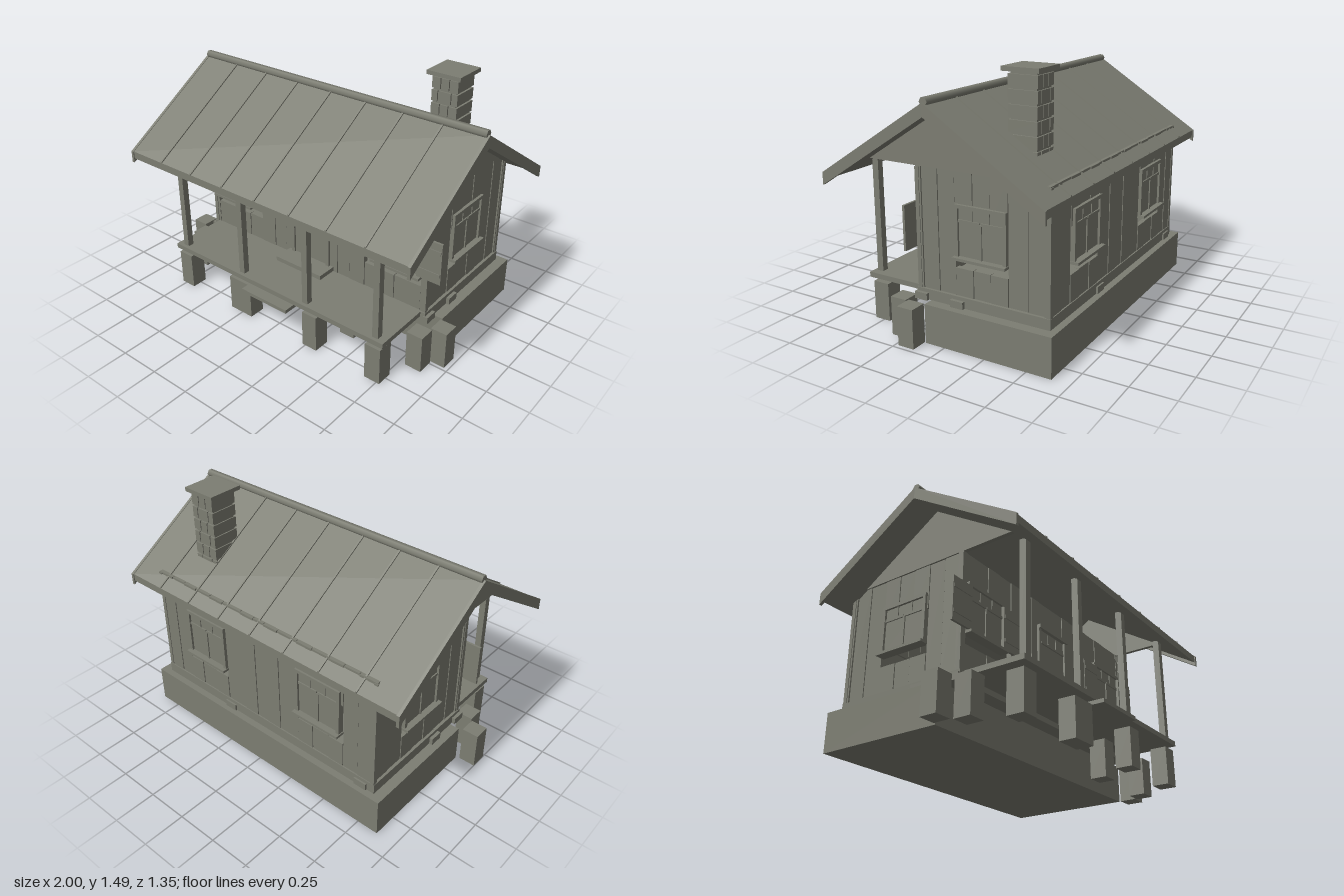
import * as THREE from 'three';

export function createModel() {
  const model = new THREE.Group();
  model.name = 'cabin';
  const stoneGrey = new THREE.MeshStandardMaterial({ color: 0x7c7d72 });
  stoneGrey.name = 'stoneGrey';

  const add = (name, geometry, parent = model) => {
    const mesh = new THREE.Mesh(geometry, stoneGrey);
    mesh.name = name;
    parent.add(mesh);
    return mesh;
  };
  // Box given by its extents on each axis
  const box = (name, x0, x1, y0, y1, z0, z1, parent = model) =>
    add(name, new THREE.BoxGeometry(x1 - x0, y1 - y0, z1 - z0), parent)
      .position.set((x0 + x1) / 2, (y0 + y1) / 2, (z0 + z1) / 2);
  const group = (name, parent = model) => {
    const g = new THREE.Group();
    g.name = name;
    parent.add(g);
    return g;
  };
  // Polygon in the z-y plane, extruded along x
  const prism = (name, points, x0, x1) => {
    const shape = new THREE.Shape(points.map(([z, y]) => new THREE.Vector2(-z, y)));
    const geometry = new THREE.ExtrudeGeometry(shape, { depth: x1 - x0, bevelEnabled: false });
    geometry.rotateY(Math.PI / 2).translate(x0, 0, 0);
    return add(name, geometry);
  };

  // Foundation, floor sill and beam ends
  box('foundation', -0.88, 0.88, 0, 0.225, -0.645, 0.12);
  box('floorSill', -0.82, 0.82, 0.225, 0.285, -0.605, 0.21);
  for (const s of [-1, 1]) {
    for (const z of [0.175, -0.055])
      box('beamEnd', s * 0.825 - 0.015, s * 0.825 + 0.015, 0.225, 0.265, z - 0.04, z + 0.04);
  }
  for (const x of [-0.73, 0.26]) box('beamEnd', x - 0.04, x + 0.04, 0.225, 0.265, -0.615, -0.6);

  // Footing blocks: centre x, centre z, width
  const footings = [
    [-0.73, 0.51, 0.1], [-0.257, 0.51, 0.165], [0.28, 0.51, 0.1], [0.72, 0.51, 0.1],
    [-0.84, 0.29, 0.1], [0.38, 0.29, 0.1], [0.84, 0.29, 0.1],
    [-0.95, 0.18, 0.1], [0.925, 0.18, 0.1],
  ];
  for (const [x, z, w] of footings) box('footing', x - w / 2, x + w / 2, 0, 0.225, z - 0.05, z + 0.05);

  // Porch
  box('porchFloor', -0.79, 0.79, 0.255, 0.285, 0.2, 0.57);
  box('porchStep', -0.17, 0.17, 0.225, 0.247, 0.48, 0.63);
  box('doorStep', -0.17, 0.17, 0.288, 0.315, 0.2, 0.325);
  for (const x of [-0.727, -0.243, 0.243, 0.727])
    box('porchPost', x - 0.019, x + 0.019, 0.285, 0.945, 0.51, 0.549);

  // Plank wall in local coordinates: outer face at z = 0, looking to +z
  const plankWall = (name, edges, holes) => {
    const wall = group(name);
    for (let i = 0; i + 1 < edges.length; i++) {
      const a = edges[i] + 0.0015, b = edges[i + 1] - 0.0015, mid = (a + b) / 2;
      const depth = i % 2 ? -0.003 : 0;
      const hole = holes.find((h) => mid > h[0] && mid < h[1]);
      if (!hole) box('plank', a, b, 0.285, 0.96, -0.03, depth, wall);
      else {
        box('lowerPlank', a, b, 0.285, 0.44, -0.03, depth, wall);
        box('upperPlank', a, b, 0.7, 0.96, -0.03, depth, wall);
      }
    }
    return wall;
  };
  // Window with frame, panes, glazing bars and sill
  const addWindow = (wall, x, shutters) => {
    const w = group('window', wall);
    w.position.x = x;
    box('panes', -0.14, 0.14, 0.51, 0.775, -0.02, 0.003, w);
    for (const s of [-1, 1]) {
      box('sideFrame', s * 0.145 - 0.01, s * 0.145 + 0.01, 0.505, 0.785, -0.02, 0.016, w);
      box('lowerBar', s * 0.07 - 0.065, s * 0.07 + 0.065, 0.695, 0.71, 0, 0.01, w);
      box('upperBar', s * 0.05 - 0.004, s * 0.05 + 0.004, 0.71, 0.77, 0, 0.008, w);
    }
    box('middleBar', -0.006, 0.006, 0.51, 0.7, 0, 0.01, w);
    box('topFrame', -0.155, 0.155, 0.77, 0.79, -0.02, 0.016, w);
    box('windowSill', -0.16, 0.16, 0.495, 0.51, -0.02, 0.04, w);
    if (!shutters) return;
    for (const s of [-1, 1]) {
      const c = s * 0.21;
      box('shutter', c - 0.076, c + 0.076, 0.515, 0.765, 0.008, 0.022, w);
      for (const y of [0.56, 0.7]) box('shutterBatten', c - 0.07, c + 0.07, y, y + 0.02, 0.02, 0.027, w);
    }
  };
  const mirrored = (half) => [...half, ...half.map((v) => -v).reverse()];

  // Front wall with door opening
  const front = plankWall('frontWall', mirrored([-0.815, -0.775, -0.6, -0.5, -0.395, -0.29, -0.2, -0.12]),
    [[-0.775, -0.395], [0.395, 0.775]]);
  front.position.z = 0.2;
  for (const s of [-1, 1]) addWindow(front, s * 0.62, true);

  // Back wall
  const back = plankWall('backWall', mirrored([-0.815, -0.7, -0.6, -0.5, -0.385, -0.28, -0.14, -0.04]),
    [[-0.6, -0.28], [0.28, 0.6]]);
  back.position.z = -0.6;
  back.rotation.y = Math.PI;
  for (const s of [-1, 1]) addWindow(back, s * 0.43, false);

  // Side walls: local x runs along z
  const sideEdges = [-0.6, -0.47, -0.355, -0.25, -0.145, -0.035, 0.07, 0.2];
  for (const s of [-1, 1]) {
    const edges = s > 0 ? sideEdges.map((v) => -v).reverse() : sideEdges;
    const side = plankWall(s > 0 ? 'leftWall' : 'rightWall', edges, [s > 0 ? [0.035, 0.355] : [-0.355, -0.035]]);
    side.position.x = s * 0.805;
    side.rotation.y = s * Math.PI / 2;
    addWindow(side, s * 0.198, false);
    for (const z of [0.192, -0.592])
      box('cornerBoard', s * 0.805 - 0.012, s * 0.805 + 0.012, 0.285, 0.955, z - 0.012, z + 0.012);
  }

  // Door
  const door = group('door');
  box('doorPanel', -0.12, 0.12, 0.285, 0.785, 0.175, 0.203, door);
  box('doorTransom', -0.115, 0.115, 0.697, 0.709, 0.2, 0.212, door);
  for (const s of [-1, 1]) {
    box('doorFrame', s * 0.132 - 0.012, s * 0.132 + 0.012, 0.285, 0.785, 0.18, 0.215, door);
    box('doorBar', s * 0.04 - 0.004, s * 0.04 + 0.004, 0.709, 0.775, 0.2, 0.209, door);
  }
  box('doorLintel', -0.145, 0.145, 0.782, 0.805, 0.18, 0.225, door);
  add('doorKnob', new THREE.SphereGeometry(0.009, 12, 8), door).position.set(0.08, 0.535, 0.21);

  // Roof layers: chevrons following the slope, lifted and thickened as needed
  const chevron = (name, lift, thick, x0, x1, e = 0.67) => {
    const yEave = 1.33 - 0.64 * e + lift, yTop = 1.33 + lift;
    prism(name, [[e, yEave], [0, yTop], [-e, yEave], [-e, yEave - thick], [0, yTop - thick], [e, yEave - thick]], x0, x1);
  };
  chevron('roof', 0, 0.045, -0.985, 0.985, 0.668);
  for (const s of [-1, 1]) chevron('vergeBoard', 0.003, 0.07, s * 0.991 - 0.009, s * 0.991 + 0.009, 0.673);
  for (let i = -3; i <= 3; i++) chevron('roofSeam', 0.008, 0.015, i * 0.245 - 0.005, i * 0.245 + 0.005, 0.668);
  const cap = add('ridgeCap', new THREE.CylinderGeometry(0.024, 0.024, 1.98, 6));
  cap.rotation.z = Math.PI / 2;
  cap.position.y = 1.336;

  // Gable panels
  for (const s of [-1, 1])
    prism('gable', [[0.52, 0.96], [0, 1.293], [-0.52, 0.96]], s * 0.8 - 0.012, s * 0.8 + 0.012);

  // Chimney of staggered stone courses
  const chimney = group('chimney');
  box('chimneyCore', 0.495, 0.64, 1.02, 1.468, -0.425, -0.275, chimney);
  for (let row = 0; row < 6; row++) {
    const y = 1.385 - row * 0.076;
    const cuts = row % 2 ? [0, 0.25, 0.75, 1] : [0, 0.34, 0.66, 1];
    for (let i = 0; i < 3; i++)
      box('chimneyStone', 0.485 + cuts[i] * 0.17 + 0.003, 0.485 + cuts[i + 1] * 0.17 - 0.003,
        y, y + 0.064, -0.435, -0.265, chimney);
  }
  box('chimneyCap', 0.463, 0.677, 1.463, 1.487, -0.455, -0.24, chimney);

  return model;
}
